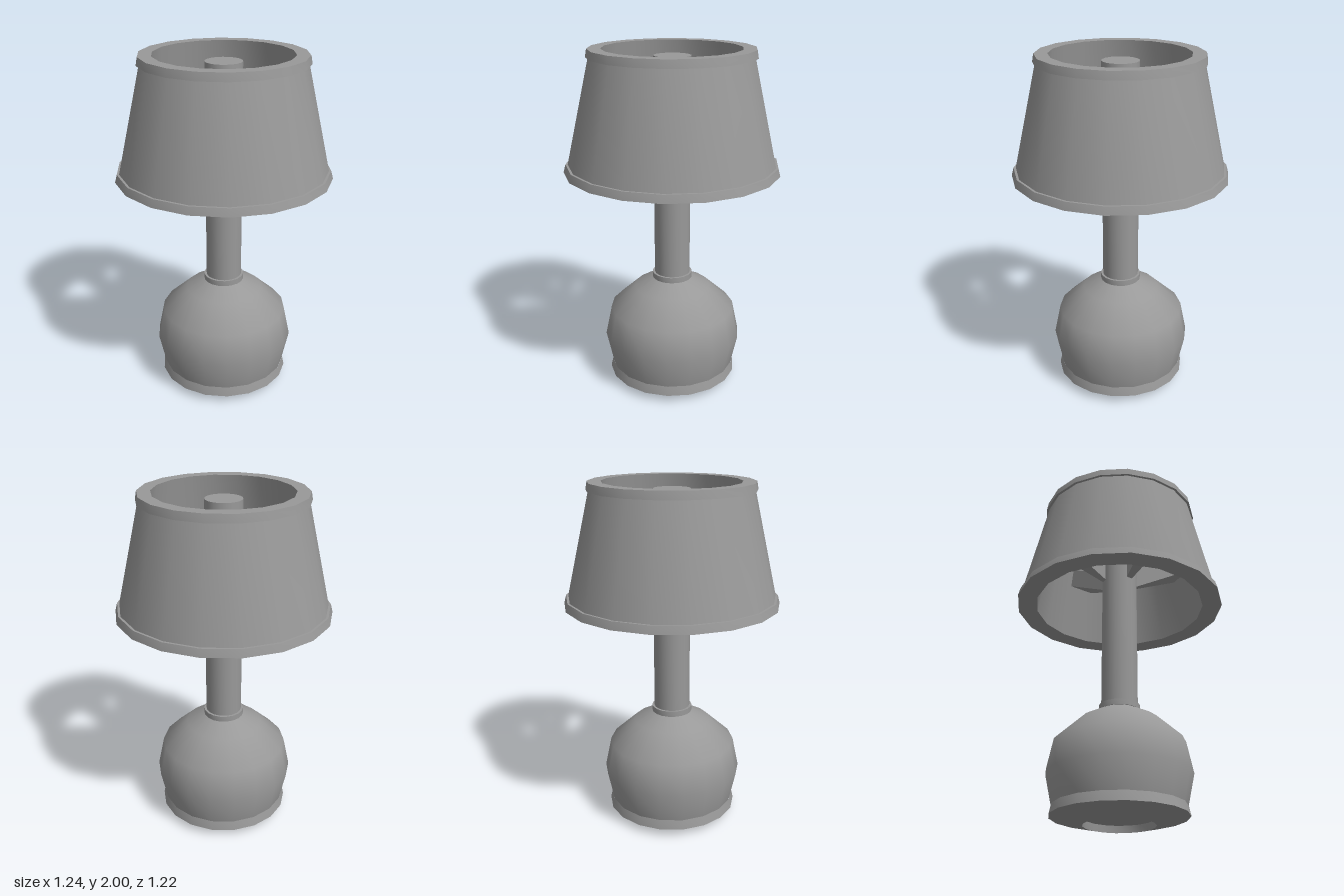
import * as THREE from 'three';
import { toCreasedNormals } from 'three/addons/utils/BufferGeometryUtils.js';

const SIDES = 18;
const material = new THREE.MeshStandardMaterial({ color: 0x999999 });

// Turned part: [radius, height] profile, with a corner of the polygon on the x axis
function turned(name, profile, crease = 0.8) {
  const points = profile.map(([r, y]) => new THREE.Vector2(r, y));
  const geometry = new THREE.LatheGeometry(points, SIDES, Math.PI / 2);
  const mesh = new THREE.Mesh(toCreasedNormals(geometry, crease), material);
  mesh.name = name;
  return mesh;
}

// Wedge-shaped arm one polygon side wide, rising from the post to the shade wall
function shadeArm(degrees) {
  const geometry = new THREE.BoxGeometry(1, 1, 1);
  const pos = geometry.attributes.position;
  const half = Math.PI / SIDES;
  for (let i = 0; i < pos.count; i++) {
    const outer = pos.getX(i) > 0, top = pos.getY(i) > 0;
    const r = outer ? (top ? 0.43 : 0.45) : 0.1;
    const y = outer ? (top ? 1.77 : 1.655) : (top ? 1.61 : 1.48);
    pos.setXYZ(i, r * Math.cos(half), y, Math.sign(pos.getZ(i)) * r * Math.sin(half));
  }
  const flat = geometry.toNonIndexed();
  flat.computeVertexNormals();
  const mesh = new THREE.Mesh(flat, material);
  mesh.name = 'shadeArm';
  mesh.rotation.y = -THREE.MathUtils.degToRad(degrees);
  return mesh;
}

export function createModel() {
  const lamp = new THREE.Group();
  lamp.name = 'tableLamp';

  // Foot with a shallow round recess underneath
  lamp.add(turned('foot', [
    [0, 0.04], [0.195, 0.04], [0.2, 0], [0.384, 0.045], [0.372, 0.1],
  ]));

  // Rounded base
  lamp.add(turned('baseBody', [
    [0.37, 0.095], [0.372, 0.105], [0.409, 0.277], [0.372, 0.455], [0.225, 0.59], [0.108, 0.65],
  ], 1.2));

  // Collar between base and post
  lamp.add(turned('collar', [[0.1, 0.645], [0.118, 0.647], [0.118, 0.68], [0.1, 0.68]]));

  // Post
  lamp.add(turned('post', [[0.105, 0.64], [0.105, 1.96], [0, 1.96]]));

  // Thick hollow shade with a band at each rim
  lamp.add(turned('shade', [
    [0.503, 1.315], [0.619, 1.315], [0.607, 1.36], [0.594, 1.36],
    [0.458, 1.955], [0.473, 1.955], [0.465, 2], [0.39, 2], [0.503, 1.315],
  ]));

  // Four arms joining post and shade
  const arms = new THREE.Group();
  arms.name = 'shadeArms';
  for (const degrees of [10, 90, 190, 270]) arms.add(shadeArm(degrees));
  lamp.add(arms);

  return lamp;
}
